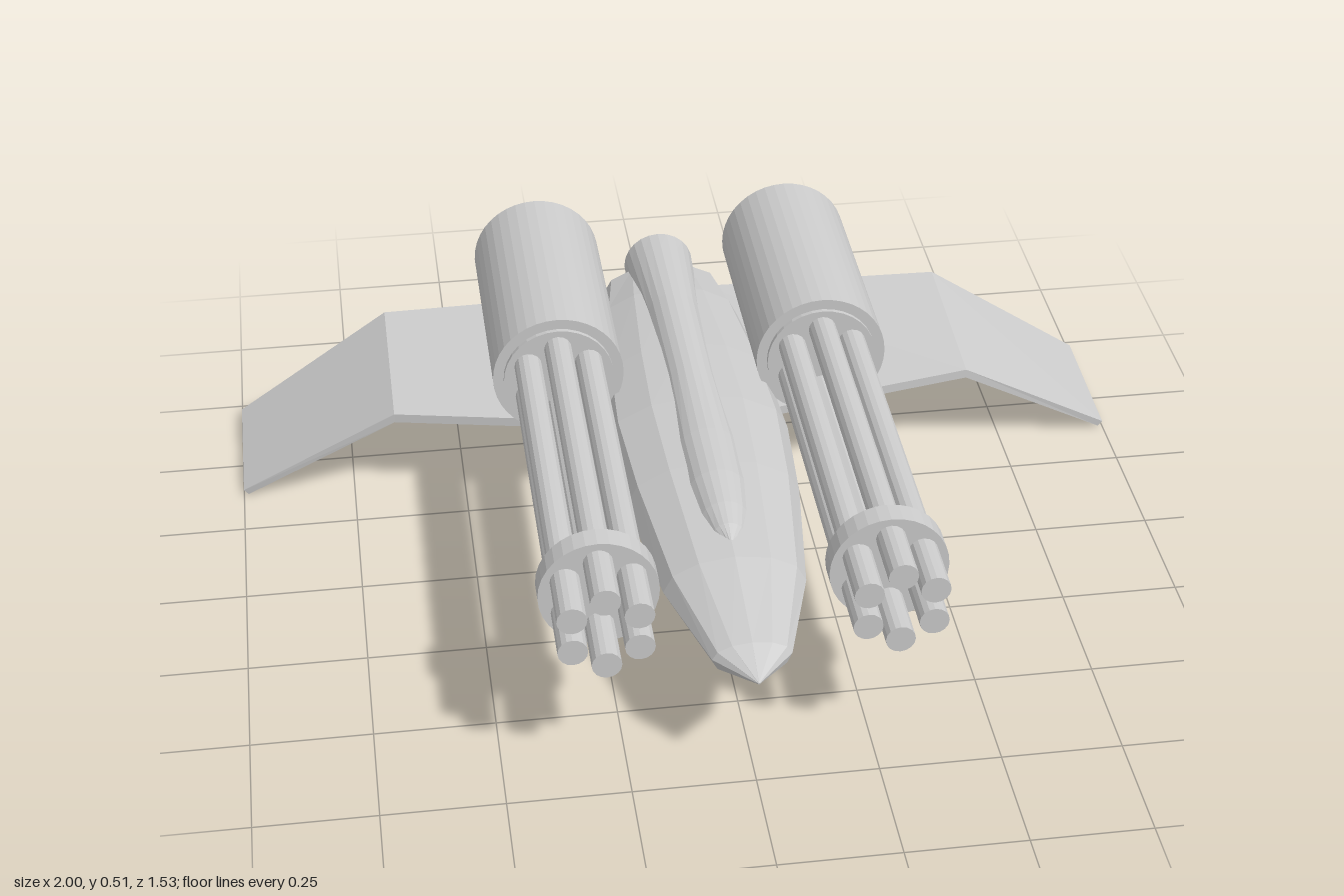
import * as THREE from 'three';

const material = new THREE.MeshStandardMaterial({ color: 0xcccccc, flatShading: true });

function add(parent, name, geometry, x = 0, y = 0, z = 0) {
  const mesh = new THREE.Mesh(geometry, material);
  mesh.name = name;
  mesh.position.set(x, y, z);
  parent.add(mesh);
  return mesh;
}

// Skin over closed rings of [x, y, z], counter-clockwise about the direction of advance, capped at both ends
function loft(rings) {
  const n = rings[0].length, last = rings.length - 1, index = [];
  for (let i = 0; i < last; i++) {
    for (let j = 0; j < n; j++) {
      const k = (j + 1) % n;
      const a = i * n + j, b = i * n + k, c = b + n, d = a + n;
      index.push(a, b, c, a, c, d);
    }
  }
  for (let j = 1; j < n - 1; j++) {
    index.push(0, j + 1, j, last * n, last * n + j, last * n + j + 1);
  }
  const geometry = new THREE.BufferGeometry();
  geometry.setAttribute('position', new THREE.Float32BufferAttribute(rings.flat(2), 3));
  geometry.setIndex(index);
  const flat = geometry.toNonIndexed();
  flat.computeVertexNormals();
  return flat;
}

// Elliptical ring at z with half-width w, from bottom to top, widest at mid
function ellipse(z, w, bottom, top, mid, sides) {
  return Array.from({ length: sides }, (_, j) => {
    const a = (j / sides) * Math.PI * 2, s = Math.sin(a);
    return [w * Math.cos(a), mid + s * (s > 0 ? top - mid : mid - bottom), z];
  });
}

// Cylinder lying along z between z0 and z1
function tube(parent, name, r, x, y, z0, z1, sides) {
  const geometry = new THREE.CylinderGeometry(r, r, z1 - z0, sides).rotateX(Math.PI / 2);
  return add(parent, name, geometry, x, y, (z0 + z1) / 2);
}

// Rotary gun: housing, face plate, six barrels and their clamp
function makeGun(side) {
  const gun = new THREE.Group();
  gun.name = side > 0 ? 'leftGun' : 'rightGun';
  gun.position.set(side * 0.29, 0.37, 0);
  tube(gun, 'housing', 0.143, 0, 0, -0.73, -0.21, 40);
  tube(gun, 'facePlate', 0.12, 0, 0, -0.22, -0.2, 32);
  tube(gun, 'barrelClamp', 0.121, 0, 0, 0.53, 0.58, 32);
  for (let i = 0; i < 6; i++) {
    const a = Math.PI / 2 + (i * Math.PI) / 3;
    tube(gun, 'barrel', 0.03, 0.076 * Math.cos(a), 0.076 * Math.sin(a), -0.21, 0.71, 16);
  }
  return gun;
}

// Drooped wing, wedge-shaped: thin leading edge, thicker trailing edge
function makeWing(side) {
  // x, front z, back z, bottom y, front top y, back top y
  const stations = [
    [0.1, -0.215, -0.73, 0.205, 0.226, 0.252],
    [0.65, -0.325, -0.717, 0.205, 0.226, 0.252],
    [0.995, -0.385, -0.703, 0, 0.012, 0.022],
  ];
  const rings = stations.map(([x, zf, zb, y, yf, yb]) => {
    const tip = x > 0.9 ? 0.005 : 0;
    return [
      [side * (x + tip), yb, zb], [side * (x + tip), yf, zf],
      [side * (x - tip), y, zf], [side * (x - tip), y, zb],
    ];
  });
  return loft(side > 0 ? rings : rings.reverse());
}

export function createModel() {
  const model = new THREE.Group();
  model.name = 'spacecraft';

  // Hull stations: z, half-width, bottom, top, widest height
  const hull = [
    [-0.765, 0.08, 0.215, 0.3, 0.255],
    [-0.72, 0.135, 0.2, 0.325, 0.26],
    [-0.58, 0.16, 0.177, 0.345, 0.26],
    [-0.32, 0.19, 0.16, 0.358, 0.26],
    [-0.1, 0.2, 0.158, 0.362, 0.26],
    [0.14, 0.185, 0.165, 0.356, 0.26],
    [0.45, 0.147, 0.185, 0.335, 0.26],
    [0.68, 0.08, 0.213, 0.295, 0.26],
    [0.765, 0.002, 0.258, 0.262, 0.26],
  ];
  add(model, 'hull', loft(hull.map((s) => ellipse(...s, 12))));

  // Raised spine running from the canopy nose back to the exhaust
  const spine = [
    [-0.768, 0.08, 0.22, 0.38, 0.3],
    [-0.71, 0.077, 0.22, 0.38, 0.3],
    [-0.5, 0.065, 0.23, 0.38, 0.305],
    [-0.2, 0.062, 0.24, 0.38, 0.31],
    [0.05, 0.07, 0.25, 0.38, 0.31],
    [0.2, 0.066, 0.26, 0.376, 0.31],
    [0.3, 0.054, 0.27, 0.366, 0.31],
    [0.36, 0.038, 0.28, 0.354, 0.31],
    [0.4, 0.01, 0.3, 0.338, 0.315],
  ];
  add(model, 'spine', loft(spine.map((s) => ellipse(...s, 24))));

  for (const side of [1, -1]) {
    add(model, side > 0 ? 'leftWing' : 'rightWing', makeWing(side));
    model.add(makeGun(side));
  }
  return model;
}
